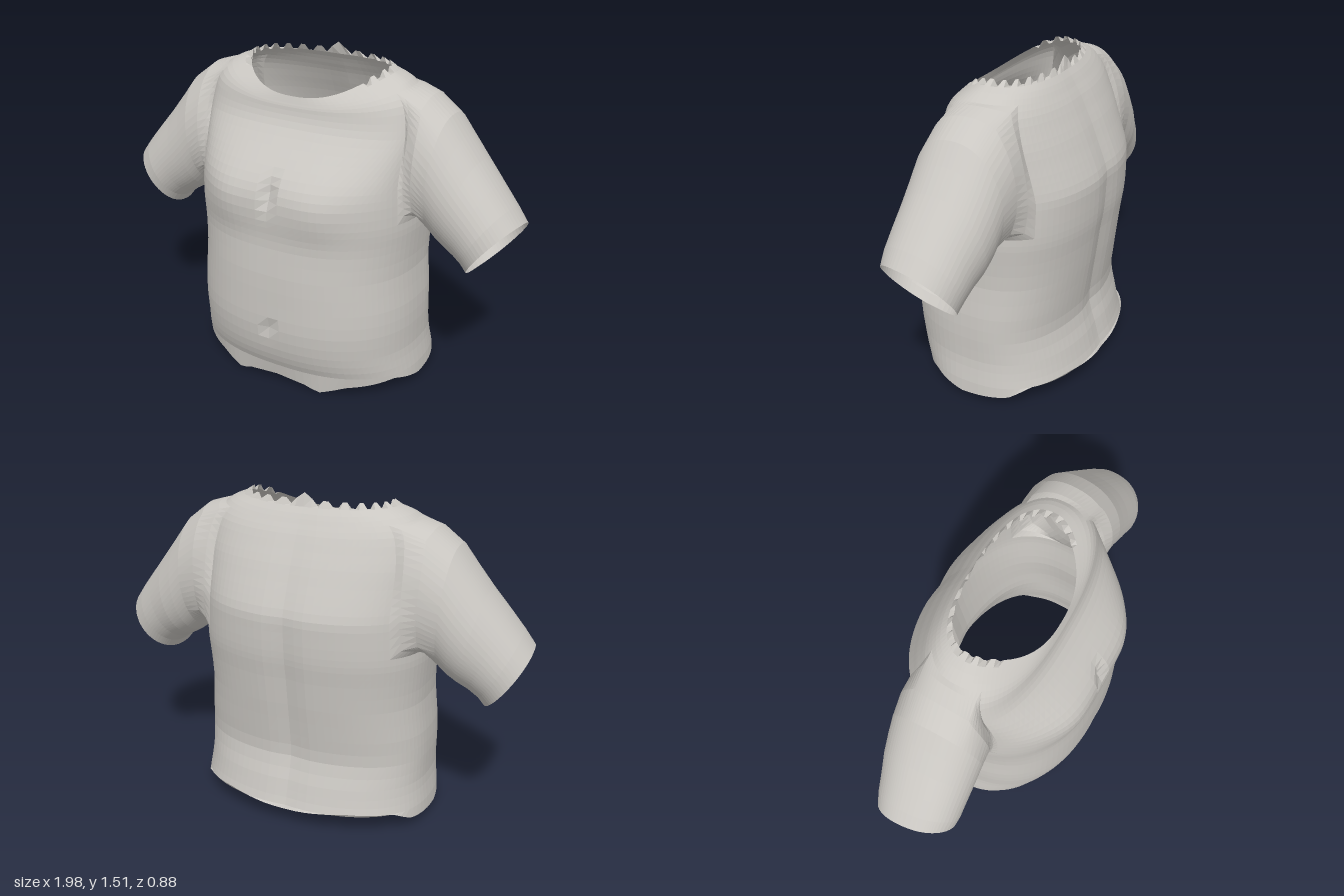
import * as THREE from 'three';

const COLS = 96;
// Armhole: the patch of the torso grid left open for each sleeve
const HOLE = { r0: 16, r1: 32, c0: 18, c1: 34 };

// Torso loops, hem to neck: side y, front y, back y, half width, front z, back z, front roundness
const KEY_LOOPS = [
  [0.08, 0.08, 0.08, 0.57, 0.37, -0.44, 0.83],
  [0.14, 0.14, 0.14, 0.56, 0.40, -0.42, 0.83],
  [0.22, 0.22, 0.22, 0.55, 0.425, -0.40, 0.83],
  [0.33, 0.33, 0.33, 0.55, 0.44, -0.37, 0.83],
  [0.45, 0.45, 0.45, 0.545, 0.44, -0.38, 0.83],
  [0.60, 0.60, 0.60, 0.53, 0.437, -0.40, 0.83],
  [0.73, 0.73, 0.73, 0.535, 0.427, -0.415, 0.83],
  [0.80, 0.80, 0.80, 0.54, 0.428, -0.425, 0.83],
  [0.86, 0.86, 0.86, 0.54, 0.433, -0.43, 0.83],
  [0.95, 0.95, 0.95, 0.535, 0.432, -0.432, 0.83],
  [1.02, 1.02, 1.02, 0.53, 0.41, -0.43, 0.8],
  [1.09, 1.09, 1.09, 0.53, 0.36, -0.405, 0.75],
  [1.16, 1.16, 1.16, 0.53, 0.30, -0.375, 0.68],
  [1.23, 1.23, 1.23, 0.53, 0.245, -0.345, 0.65],
  [1.30, 1.28, 1.29, 0.52, 0.222, -0.315, 0.68],
  [1.37, 1.315, 1.35, 0.50, 0.215, -0.285, 0.75],
  [1.42, 1.33, 1.39, 0.46, 0.21, -0.26, 0.85],
  [1.45, 1.345, 1.43, 0.41, 0.205, -0.235, 1.05],
  [1.475, 1.36, 1.475, 0.34, 0.20, -0.20, 1.25],
];

// Add a smooth in-between loop in every gap
const LOOPS = KEY_LOOPS.flatMap((loop, i) => {
  const next = KEY_LOOPS[i + 1];
  if (!next) return [loop];
  const before = KEY_LOOPS[i - 1] ?? loop, after = KEY_LOOPS[i + 2] ?? next;
  return [loop, loop.map((v, j) => (9 * (v + next[j]) - before[j] - after[j]) / 16)];
});

// Sleeve loops, shoulder to cuff: top x, y, bottom x, y, front z, back z, blend from armhole
const SLEEVE = [
  [0.52, 1.415, 0.55, 0.85, 0.16, -0.275, 0.4],
  [0.58, 1.39, 0.56, 0.825, 0.175, -0.265, 0.8],
  [0.65, 1.325, 0.60, 0.785, 0.175, -0.255, 1],
  [0.715, 1.24, 0.64, 0.75, 0.175, -0.25, 1],
  [0.79, 1.145, 0.68, 0.725, 0.175, -0.24, 1],
  [0.87, 1.05, 0.725, 0.70, 0.175, -0.22, 1],
  [0.94, 0.965, 0.765, 0.67, 0.175, -0.205, 1],
  [0.99, 0.90, 0.79, 0.635, 0.168, -0.19, 1],
];

// Wavy hem height, from front centre (0) to back centre (1)
const HEM = [[0, 0.045], [0.06, 0.03], [0.1, 0.003], [0.18, 0.05], [0.35, 0.085],
  [0.48, 0.045], [0.62, 0.06], [0.7, 0.11], [0.85, 0.12], [1, 0.09]];

function hemHeight(t) {
  const i = Math.max(1, HEM.findIndex(([key]) => t <= key));
  const [t0, y0] = HEM[i - 1], [t1, y1] = HEM[i];
  return y0 + (y1 - y0) * (t - t0) / (t1 - t0);
}

const spow = (v, p) => Math.sign(v) * Math.pow(Math.abs(v), p);
const bump = (d, r) => Math.exp(-(d * d) / (r * r));

function torsoPoint(row, col) {
  const [ys, yf, yb, w, zf, zb, round] = LOOPS[row];
  const a = (col / COLS) * Math.PI * 2;
  const s = Math.sin(a), c = Math.cos(a), mid = -0.03;
  const fromCentre = Math.min(col, COLS - col);
  const x = w * spow(s, 0.83);
  let y = ys + ((c > 0 ? yf : yb) - ys) * c * c;
  let z = mid + (c > 0 ? (zf - mid) * spow(c, round) : (mid - zb) * spow(c, 0.83));
  if (row === 0) y = hemHeight(fromCentre / (COLS / 2));
  if (c > 0) {
    z += 0.018 * c * bump(Math.abs(x) - 0.24, 0.13) * bump(y - 0.93, 0.13); // chest
    z -= 0.03 * bump(x, 0.03) * bump(y - 0.98, 0.06); // breastbone fold
    z -= 0.015 * bump(x, 0.03) * bump(y - 0.32, 0.03); // navel
  } else {
    z += 0.018 * bump(x, 0.06) * bump(y - 0.65, 0.6); // spine
  }
  // ragged neck edge
  if (row === LOOPS.length - 1 && c < 0.6) {
    y += fromCentre % 4 < 2 ? 0.01 : -0.015;
    if (fromCentre >= COLS / 2 - 1) y += 0.03;
  }
  return [x, y, z];
}

function makeMesh(name, points, index, material) {
  const geo = new THREE.BufferGeometry();
  geo.setAttribute('position', new THREE.Float32BufferAttribute(points.flat(), 3));
  geo.setIndex(index);
  geo.computeVertexNormals();
  const mesh = new THREE.Mesh(geo, material);
  mesh.name = name;
  return mesh;
}

function makeTorso(material) {
  const points = [], index = [];
  const inHole = (r, c) => r >= HOLE.r0 && r < HOLE.r1 && c >= HOLE.c0 && c < HOLE.c1;
  for (let r = 0; r < LOOPS.length; r++) {
    for (let c = 0; c < COLS; c++) points.push(torsoPoint(r, c));
  }
  for (let r = 0; r < LOOPS.length - 1; r++) {
    for (let c = 0; c < COLS; c++) {
      if (inHole(r, c) || inHole(r, COLS - 1 - c)) continue;
      const p = r * COLS + c, q = r * COLS + ((c + 1) % COLS);
      index.push(p, q, q + COLS, p, q + COLS, p + COLS);
    }
  }
  return makeMesh('torso', points, index, material);
}

// Armhole edge, from the top centre round the front, bottom and back
function armholeEdge() {
  const { r0, r1, c0, c1 } = HOLE, mid = (c0 + c1) / 2, edge = [];
  for (let c = mid; c > c0; c--) edge.push(torsoPoint(r1, c));
  for (let r = r1; r > r0; r--) edge.push(torsoPoint(r, c0));
  for (let c = c0; c < c1; c++) edge.push(torsoPoint(r0, c));
  for (let r = r0; r < r1; r++) edge.push(torsoPoint(r, c1));
  for (let c = c1; c > mid; c--) edge.push(torsoPoint(r1, c));
  return edge;
}

function makeSleeve(name, side, material) {
  const edge = armholeEdge(), n = edge.length, points = [...edge], index = [];
  // each sleeve strip keeps the direction it has on the armhole
  const angles = edge.map(([, y, z]) => Math.atan2((z + 0.06) / 0.2, (y - 1.13) / 0.28));
  SLEEVE.forEach(([tx, ty, bx, by, zf, zb, blend], k) => {
    const slant = (0.03 * k) / (SLEEVE.length - 1);
    angles.forEach((a, i) => {
      const u = (1 - Math.cos(a)) / 2, s = Math.sin(a);
      const p = [
        tx + (bx - tx) * u - slant * s * 0.7,
        ty + (by - ty) * u + slant * s * 0.7,
        (zf + zb) / 2 + ((zf - zb) / 2) * spow(s, 0.9),
      ];
      points.push(p.map((v, j) => edge[i][j] + (v - edge[i][j]) * blend));
    });
  });
  for (let k = 0; k < SLEEVE.length; k++) {
    for (let i = 0; i < n; i++) {
      const p = k * n + i, q = k * n + ((i + 1) % n);
      if (side > 0) index.push(p, q, q + n, p, q + n, p + n);
      else index.push(p, q + n, q, p, p + n, q + n);
    }
  }
  return makeMesh(name, points.map(([x, y, z]) => [x * side, y, z]), index, material);
}

export function createModel() {
  const cloth = new THREE.MeshStandardMaterial({
    color: 0xcac7c2, flatShading: true, side: THREE.DoubleSide,
  });
  cloth.name = 'pale grey cloth';
  const group = new THREE.Group();
  group.name = 'shirt';
  group.add(
    makeTorso(cloth),
    makeSleeve('leftSleeve', 1, cloth),
    makeSleeve('rightSleeve', -1, cloth),
  );
  return group;
}
